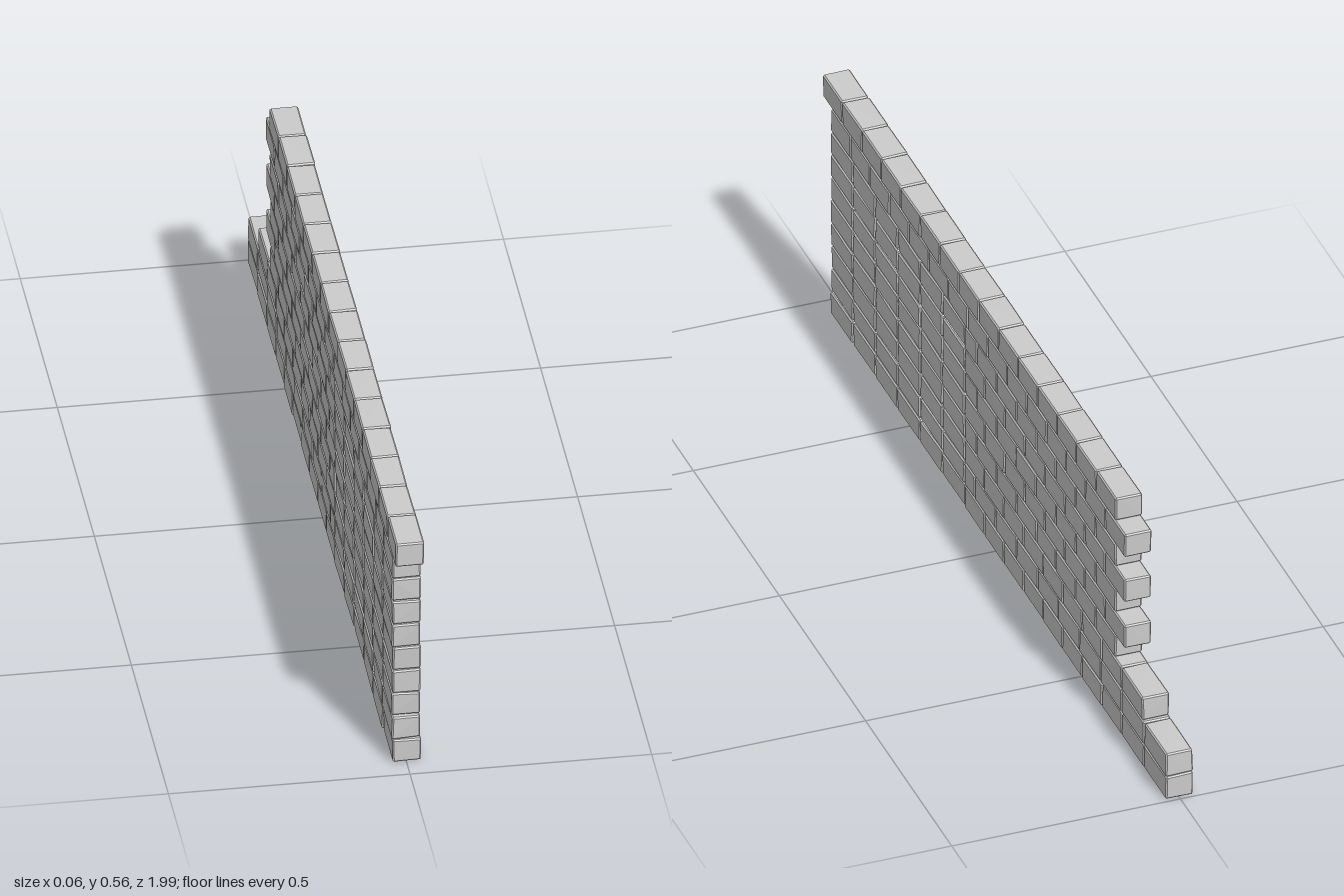
import * as THREE from 'three';
import { ConvexGeometry } from 'three/addons/geometries/ConvexGeometry.js';

// Small seeded generator for the hand-laid irregularity
let seed = 7;
const jitter = (a) => {
  seed = (seed * 16807) % 2147483647;
  return (seed / 2147483647 * 2 - 1) * a;
};

const COURSE = 0.0556, BASE = 0.004, HALF_X = 0.0295, BEVEL = 0.003;
const COLUMN = 0.13, LEFT_END = 0.955, STACK_END = 0.175;

// One chamfered brick: three points at each slightly displaced corner
function brickGeometry(halfY, halfZ, wobble) {
  const points = [];
  for (const sx of [-1, 1]) for (const sy of [-1, 1]) for (const sz of [-1, 1]) {
    const c = new THREE.Vector3(
      sx * (HALF_X + jitter(wobble * 0.6)),
      sy * (halfY + jitter(wobble * 0.5)),
      sz * (halfZ + jitter(wobble))
    );
    for (let axis = 0; axis < 3; axis++) {
      const inset = [sx, sy, sz].map((s, i) => (i === axis ? 0 : s * BEVEL));
      points.push(c.clone().sub(new THREE.Vector3(...inset)));
    }
  }
  return new ConvexGeometry(points);
}

// Joint positions for a run of equal bricks
const run = (from, to, count) =>
  Array.from({ length: count + 1 }, (_, i) => from + (to - from) * i / count);

export function createModel() {
  const wall = new THREE.Group();
  wall.name = 'brickWall';
  const material = new THREE.MeshStandardMaterial({ color: 0xcccccc, flatShading: true });

  function layBricks(course, row, joints, gap, wobble) {
    for (let i = 0; i < joints.length - 1; i++) {
      const a = joints[i], b = joints[i + 1];
      const brick = new THREE.Mesh(
        brickGeometry((COURSE - gap * 0.7) / 2, (a - b - gap) / 2, wobble), material);
      brick.name = 'brick';
      brick.position.set(jitter(0.0006), BASE + (row + 0.5) * COURSE, (a + b) / 2);
      course.add(brick);
    }
  }

  // Running-bond section of each course, beyond the stacked columns
  const bonded = [
    [...run(STACK_END, -0.735, 8), -0.865, -0.995],
    [STACK_END, ...run(0.118, -0.735, 7), -0.865, -0.995],
    [...run(STACK_END, -0.735, 8), -0.86],
    [STACK_END, ...run(0.105, -0.70, 7)],
    run(STACK_END, -0.755, 8),
    [STACK_END, ...run(0.105, -0.70, 7)],
    run(STACK_END, -0.755, 8),
    [STACK_END, ...run(0.105, -0.70, 7)],
  ];

  bonded.forEach((joints, row) => {
    const course = new THREE.Group();
    course.name = `course${row + 1}`;
    // Six stacked columns with open joints
    layBricks(course, row, run(LEFT_END, LEFT_END - 6 * COLUMN, 6), 0.0045, 0.002);
    layBricks(course, row, joints, 0.0015, 0.0015);
    wall.add(course);
  });

  // Two upper courses bonded over the full length; the cap overhangs
  [['upperCourse', 8, 0.955, -0.755], ['capCourse', 9, 1.0, -0.70]].forEach(([name, row, a, b]) => {
    const course = new THREE.Group();
    course.name = name;
    layBricks(course, row, run(a, b, 15), 0.0015, 0.0012);
    wall.add(course);
  });

  return wall;
}
